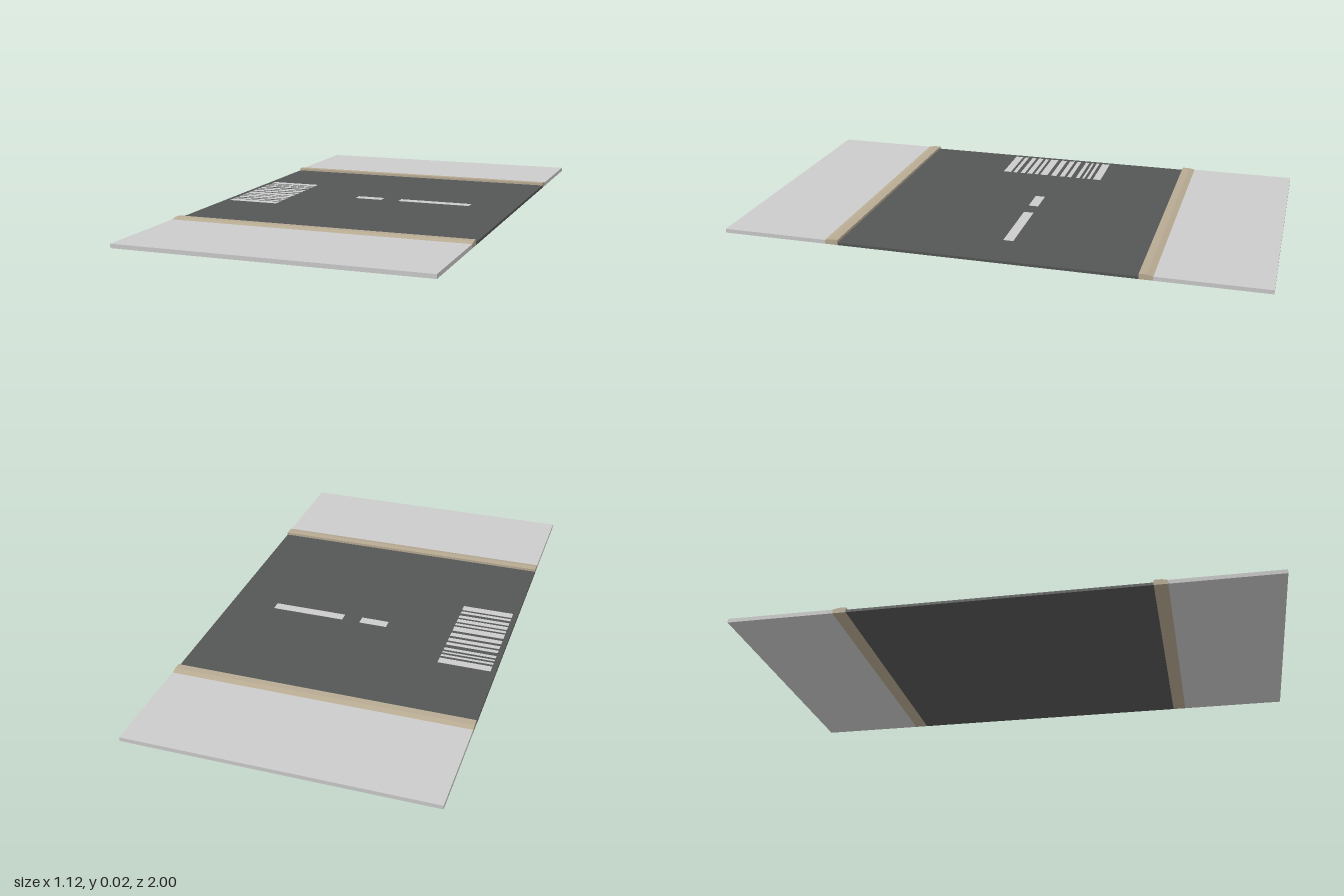
import * as THREE from 'three';

const WIDTH = 1.12;
const ROAD_TOP = 0.01;

const concrete = new THREE.MeshStandardMaterial({ color: 0xcccccc });
const paint = new THREE.MeshStandardMaterial({ color: 0xcccccc });
const asphalt = new THREE.MeshStandardMaterial({ color: 0x555756 });
const stone = new THREE.MeshStandardMaterial({ color: 0xb8ab93 });

// Box given by its extents on each axis
function slab(name, material, [x0, x1], [y0, y1], [z0, z1]) {
  const mesh = new THREE.Mesh(new THREE.BoxGeometry(x1 - x0, y1 - y0, z1 - z0), material);
  mesh.position.set((x0 + x1) / 2, (y0 + y1) / 2, (z0 + z1) / 2);
  mesh.name = name;
  return mesh;
}

// Kerb: flat crown beside the road, sloping down to meet the pavement
function makeKerb() {
  const shape = new THREE.Shape([
    [0.55, 0], [0.6, 0], [0.6, 0.015], [0.578, 0.02], [0.55, 0.02],
  ].map(([z, y]) => new THREE.Vector2(z, y)));
  const geometry = new THREE.ExtrudeGeometry(shape, { depth: WIDTH, bevelEnabled: false });
  geometry.translate(0, 0, -WIDTH / 2).rotateY(-Math.PI / 2);
  const mesh = new THREE.Mesh(geometry, stone);
  mesh.name = 'kerb';
  return mesh;
}

export function createModel() {
  const group = new THREE.Group();
  group.name = 'streetSection';
  const across = [-WIDTH / 2, WIDTH / 2];

  group.add(slab('road', asphalt, across, [0, ROAD_TOP], [-0.55, 0.55]));

  // Pavement and kerb on both sides
  for (const angle of [0, Math.PI]) {
    const side = new THREE.Group();
    side.name = angle ? 'backSidewalk' : 'frontSidewalk';
    side.add(slab('pavement', concrete, across, [0, 0.015], [0.6, 1]), makeKerb());
    side.rotation.y = angle;
    group.add(side);
  }

  // Painted markings lie just above the asphalt
  const paintHeight = [ROAD_TOP, ROAD_TOP + 0.0008];

  // Crossing stripes of uneven width
  const crossing = new THREE.Group();
  crossing.name = 'crosswalk';
  const stripes = [
    [-0.235, -0.203], [-0.19, -0.178], [-0.166, -0.157], [-0.145, -0.13],
    [-0.109, -0.092], [-0.08, -0.06], [-0.045, -0.022], [-0.006, 0.025],
    [0.036, 0.05], [0.061, 0.082], [0.093, 0.111], [0.128, 0.143], [0.154, 0.185],
  ];
  for (const span of stripes) {
    crossing.add(slab('crosswalkStripe', paint, [-0.54, -0.34], paintHeight, span));
  }
  group.add(crossing);

  // Centre line dashes
  for (const span of [[-0.087, 0.022], [0.093, 0.38]]) {
    group.add(slab('laneDash', paint, span, paintHeight, [-0.06, -0.022]));
  }
  return group;
}
